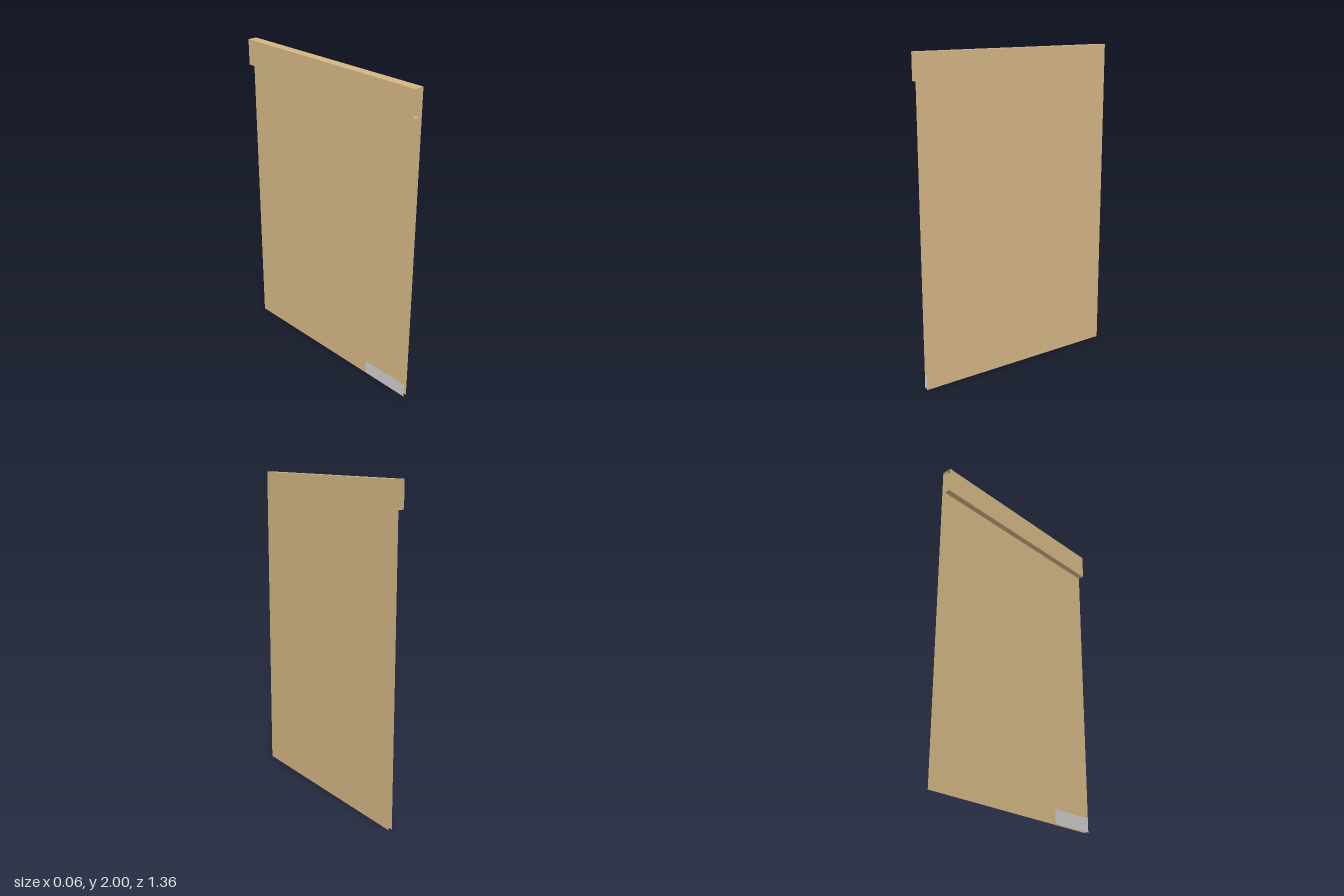
import * as THREE from 'three';

const HALF_X = 0.03;   // overall thickness / 2
const HALF_Z = 0.68;   // panel width / 2
const REAR_X = 0.0075; // plane of the second sheet
const HEIGHT = 2;
const RAIL_Y = 1.84;   // underside of the top rail
const TAG_Y = 0.09;    // label height
const TAG_Z = 0.35;    // label inner edge

const wood = new THREE.MeshStandardMaterial({ color: 0xd4b584, side: THREE.DoubleSide });
const grey = new THREE.MeshStandardMaterial({ color: 0xcccccc, side: THREE.DoubleSide });

// Upright sheet in the plane x, facing side (+1 or -1)
function upright(name, x, y0, y1, z0, z1, side, material = wood) {
  const geometry = new THREE.PlaneGeometry(z1 - z0, y1 - y0);
  geometry.rotateY(side * Math.PI / 2);
  geometry.translate(x, (y0 + y1) / 2, (z0 + z1) / 2);
  const mesh = new THREE.Mesh(geometry, material);
  mesh.name = name;
  return mesh;
}

// Level strip at height y, running the full width, facing side (+1 up, -1 down)
function level(name, y, x0, x1, side) {
  const geometry = new THREE.PlaneGeometry(x1 - x0, 2 * HALF_Z);
  geometry.rotateX(-side * Math.PI / 2);
  geometry.translate((x0 + x1) / 2, y, 0);
  const mesh = new THREE.Mesh(geometry, wood);
  mesh.name = name;
  return mesh;
}

export function createModel() {
  const model = new THREE.Group();
  model.name = 'hangingPanel';

  // Outer sheet
  model.add(upright('outerSheet', HALF_X, 0, HEIGHT, -HALF_Z, HALF_Z, 1));

  // Second sheet, with a grey label set into its lower corner
  const rear = new THREE.Group();
  rear.name = 'rearSheet';
  rear.add(
    upright('rearSheetMain', REAR_X, TAG_Y, HEIGHT, -HALF_Z, HALF_Z, -1),
    upright('rearSheetFoot', REAR_X, 0, TAG_Y, -HALF_Z, TAG_Z, -1),
    upright('cornerLabel', REAR_X, 0, TAG_Y, TAG_Z, HALF_Z, -1, grey),
  );
  model.add(rear);

  // Open-ended rail folded along the top
  const rail = new THREE.Group();
  rail.name = 'topRail';
  rail.add(
    level('railTop', HEIGHT, -HALF_X, HALF_X, 1),
    upright('railFace', -HALF_X, RAIL_Y, HEIGHT, -HALF_Z, HALF_Z, -1),
    level('railBottom', RAIL_Y, -HALF_X, REAR_X, -1),
  );
  model.add(rail);

  return model;
}
